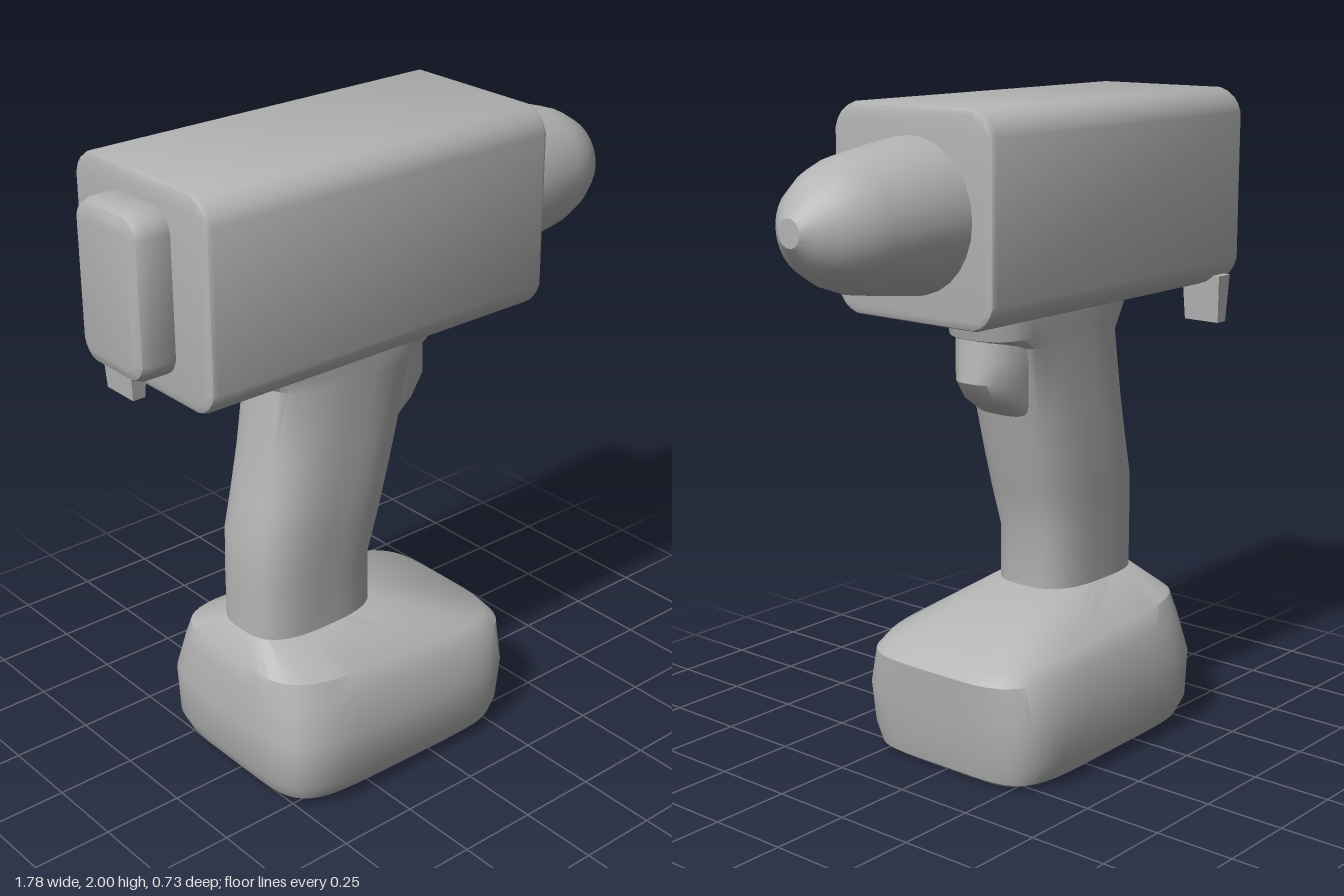
import * as THREE from 'three';
import { toCreasedNormals } from 'three/addons/utils/BufferGeometryUtils.js';

const grey = new THREE.MeshStandardMaterial({ color: 0xb4b4b4 });
grey.name = 'grey plastic';

function part(name, geometry, crease = 0.6) {
  const mesh = new THREE.Mesh(toCreasedNormals(geometry, crease), grey);
  mesh.name = name;
  return mesh;
}

// Skin over stacked rounded rings, bottom to top.
// ring: [y at back, y at front, back x, front x, half width z, squareness]
function loft(rings, n = 40) {
  const pos = [], index = [];
  const soft = (v, p) => Math.sign(v) * Math.pow(Math.abs(v), 2 / p);
  for (const [yb, yf, x0, x1, hz, p] of rings) {
    for (let i = 0; i < n; i++) {
      const a = ((i + 0.5) / n) * Math.PI * 2;
      const u = soft(Math.cos(a), p);
      const t = (u + 1) / 2;
      pos.push(x0 + (x1 - x0) * t, yb + (yf - yb) * t, hz * soft(Math.sin(a), p));
    }
  }
  for (let r = 0; r < rings.length - 1; r++) {
    for (let i = 0; i < n; i++) {
      const a = r * n + i, b = r * n + ((i + 1) % n);
      index.push(a, a + n, b, b, a + n, b + n);
    }
  }
  // End caps
  for (const r of [0, rings.length - 1]) {
    const [yb, yf, x0, x1] = rings[r];
    const c = pos.length / 3;
    pos.push((x0 + x1) / 2, (yb + yf) / 2, 0);
    for (let i = 0; i < n; i++) {
      const a = r * n + i, b = r * n + ((i + 1) % n);
      if (r === 0) index.push(c, a, b);
      else index.push(c, b, a);
    }
  }
  const g = new THREE.BufferGeometry();
  g.setAttribute('position', new THREE.Float32BufferAttribute(pos, 3));
  g.setIndex(index);
  return g;
}

// Rounded block with its bevelled cross-section running along x
function block(x0, x1, y0, y1, z0, z1, radius, bevel) {
  const w = (z1 - z0) / 2 - bevel, h = (y1 - y0) / 2 - bevel, r = radius;
  const s = new THREE.Shape();
  s.moveTo(-w + r, -h);
  s.lineTo(w - r, -h);
  s.quadraticCurveTo(w - r * 0.2, -h + r * 0.2, w, -h + r);
  s.lineTo(w, h - r);
  s.quadraticCurveTo(w - r * 0.2, h - r * 0.2, w - r, h);
  s.lineTo(-w + r, h);
  s.quadraticCurveTo(-w + r * 0.2, h - r * 0.2, -w, h - r);
  s.lineTo(-w, -h + r);
  s.quadraticCurveTo(-w + r * 0.2, -h + r * 0.2, -w + r, -h);
  const g = new THREE.ExtrudeGeometry(s, {
    depth: x1 - x0 - 2 * bevel, bevelEnabled: true, bevelSize: bevel,
    bevelThickness: bevel, bevelSegments: 2, curveSegments: 4,
  });
  g.rotateY(Math.PI / 2);
  g.translate(x0 + bevel, (y0 + y1) / 2, (z0 + z1) / 2);
  return g;
}

export function createModel() {
  const group = new THREE.Group();
  group.name = 'powerDrill';

  // Motor housing and rear plate
  group.add(part('housing', block(-0.78, 0.42, 1.39, 2.0, -0.29, 0.31, 0.06, 0.018)));
  group.add(part('rearPlate', block(-0.89, -0.74, 1.46, 1.93, -0.14, 0.15, 0.03, 0.035)));

  // Tapered chuck
  const profile = [[0.225, 0.38], [0.223, 0.44], [0.208, 0.56], [0.188, 0.69], [0.165, 0.755],
    [0.125, 0.82], [0.08, 0.86], [0.04, 0.89], [0, 0.89]]
    .map(([r, x]) => new THREE.Vector2(r, x));
  const chuck = new THREE.LatheGeometry(profile, 28);
  chuck.rotateZ(-Math.PI / 2);
  chuck.translate(0, 1.695, 0.007);
  group.add(part('chuck', chuck));

  // Grip with a flared collar under the housing
  group.add(part('grip', loft([
    [0.46, 0.46, -0.49, -0.05, 0.155, 2.9],
    [0.67, 0.67, -0.49, -0.05, 0.155, 2.9],
    [0.8, 0.8, -0.485, -0.01, 0.165, 2.8],
    [0.93, 0.93, -0.455, 0.025, 0.168, 2.8],
    [1.06, 1.06, -0.43, 0.06, 0.168, 2.8],
    [1.28, 1.28, -0.4, 0.12, 0.166, 2.8],
    [1.33, 1.31, -0.435, 0.19, 0.168, 2.8],
    [1.42, 1.42, -0.49, 0.22, 0.17, 2.8],
  ])));

  // Trigger
  group.add(part('trigger', loft([
    [1.05, 1.06, -0.15, 0.055, 0.11, 3],
    [1.1, 1.12, -0.15, 0.155, 0.11, 2.4],
    [1.16, 1.18, -0.15, 0.2, 0.115, 2.2],
    [1.24, 1.24, -0.15, 0.192, 0.125, 2.2],
    [1.33, 1.33, -0.15, 0.18, 0.13, 2.4],
  ], 32)));

  // Battery base with a top that slopes down to the front
  group.add(part('battery', loft([
    [0.02, 0.002, -0.5, 0.3, 0.29, 6],
    [0.035, 0.02, -0.53, 0.325, 0.33, 5.5],
    [0.09, 0.08, -0.557, 0.34, 0.358, 5],
    [0.24, 0.21, -0.562, 0.353, 0.365, 5],
    [0.36, 0.33, -0.55, 0.365, 0.335, 4.5],
    [0.43, 0.365, -0.54, 0.335, 0.305, 4.5],
    [0.5, 0.5, -0.49, -0.045, 0.16, 3],
  ], 48)));

  // Small tapered tab under the rear of the housing
  const tab = new THREE.BoxGeometry(0.06, 0.15, 0.14);
  const p = tab.attributes.position;
  for (let i = 0; i < p.count; i++) {
    if (p.getY(i) < 0) p.setXYZ(i, p.getX(i) * 0.7, p.getY(i), p.getZ(i) * 0.9);
  }
  tab.translate(-0.7, 1.345, -0.22);
  group.add(part('tab', tab));

  return group;
}
